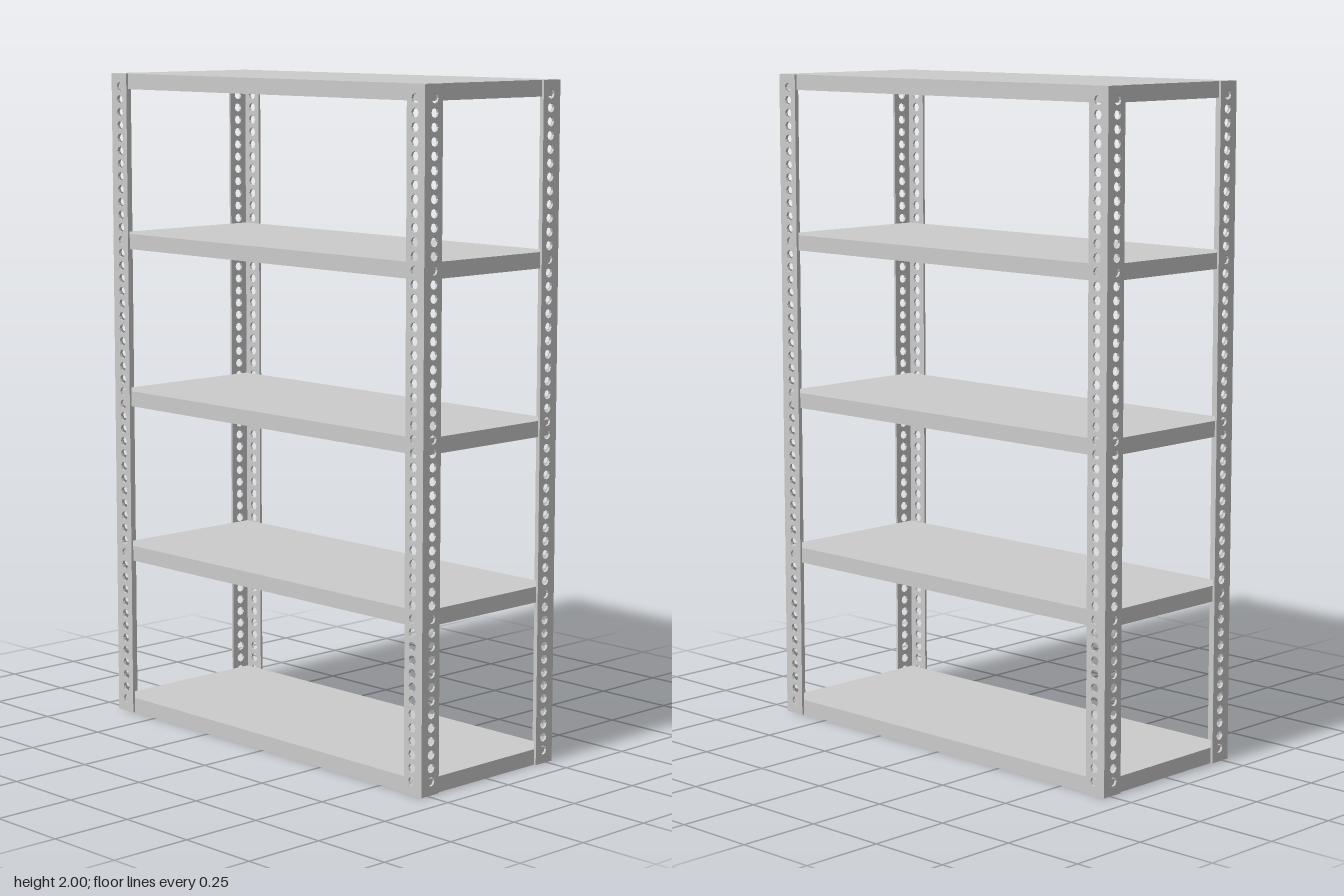
import * as THREE from 'three';

const HX = 0.67, HZ = 0.275, HEIGHT = 2;   // overall half width, half depth, height
const T = 0.007, LEG = 0.07;               // angle post thickness and flange width
const SHELF_H = 0.047, SHELVES = 5;
const HOLES = 50, HOLE_R = 0.014, HOLE_Y0 = 0.04;

// Upright strip with a column of bolt holes, centred on x and z
function perforatedStrip(width, holeX) {
  const shape = new THREE.Shape();
  shape.moveTo(-width / 2, 0);
  shape.lineTo(width / 2, 0);
  shape.lineTo(width / 2, HEIGHT);
  shape.lineTo(-width / 2, HEIGHT);
  shape.closePath();
  const step = (HEIGHT - 2 * HOLE_Y0) / (HOLES - 1);
  for (let i = 0; i < HOLES; i++) {
    const pts = [];
    for (let k = 0; k < 8; k++) {
      const a = -k * Math.PI / 4;
      pts.push(new THREE.Vector2(holeX + HOLE_R * Math.cos(a), HOLE_Y0 + i * step + HOLE_R * Math.sin(a)));
    }
    shape.holes.push(new THREE.Path(pts));
  }
  const geo = new THREE.ExtrudeGeometry(shape, { depth: T, bevelEnabled: false });
  geo.translate(0, 0, -T / 2);
  return geo;
}

export function createModel() {
  const model = new THREE.Group();
  model.name = 'shelvingUnit';
  const mat = new THREE.MeshStandardMaterial({ color: 0xcccccc, flatShading: true });

  // Four L-section corner posts
  const wideGeo = perforatedStrip(LEG, -T / 2);
  const sideGeo = perforatedStrip(LEG - T, 0);
  for (const sx of [-1, 1]) {
    for (const sz of [-1, 1]) {
      const post = new THREE.Group();
      post.name = (sz > 0 ? 'front' : 'back') + (sx > 0 ? 'Left' : 'Right') + 'Post';

      const wide = new THREE.Mesh(wideGeo, mat);
      wide.name = 'wideFlange';
      wide.position.set(sx * (HX - LEG / 2), 0, sz * (HZ - T / 2));
      wide.rotation.y = sx > 0 ? 0 : Math.PI;

      const side = new THREE.Mesh(sideGeo, mat);
      side.name = 'sideFlange';
      side.position.set(sx * (HX - T / 2), 0, sz * (HZ - T - (LEG - T) / 2));
      side.rotation.y = Math.PI / 2;

      post.add(wide, side);
      model.add(post);
    }
  }

  // Evenly spaced shelves fitted inside the posts
  const shelfGeo = new THREE.BoxGeometry(2 * (HX - T), SHELF_H, 2 * (HZ - T));
  for (let i = 0; i < SHELVES; i++) {
    const shelf = new THREE.Mesh(shelfGeo, mat);
    shelf.name = 'shelf' + (i + 1);
    shelf.position.y = SHELF_H / 2 + i * (HEIGHT - SHELF_H) / (SHELVES - 1);
    model.add(shelf);
  }
  return model;
}
